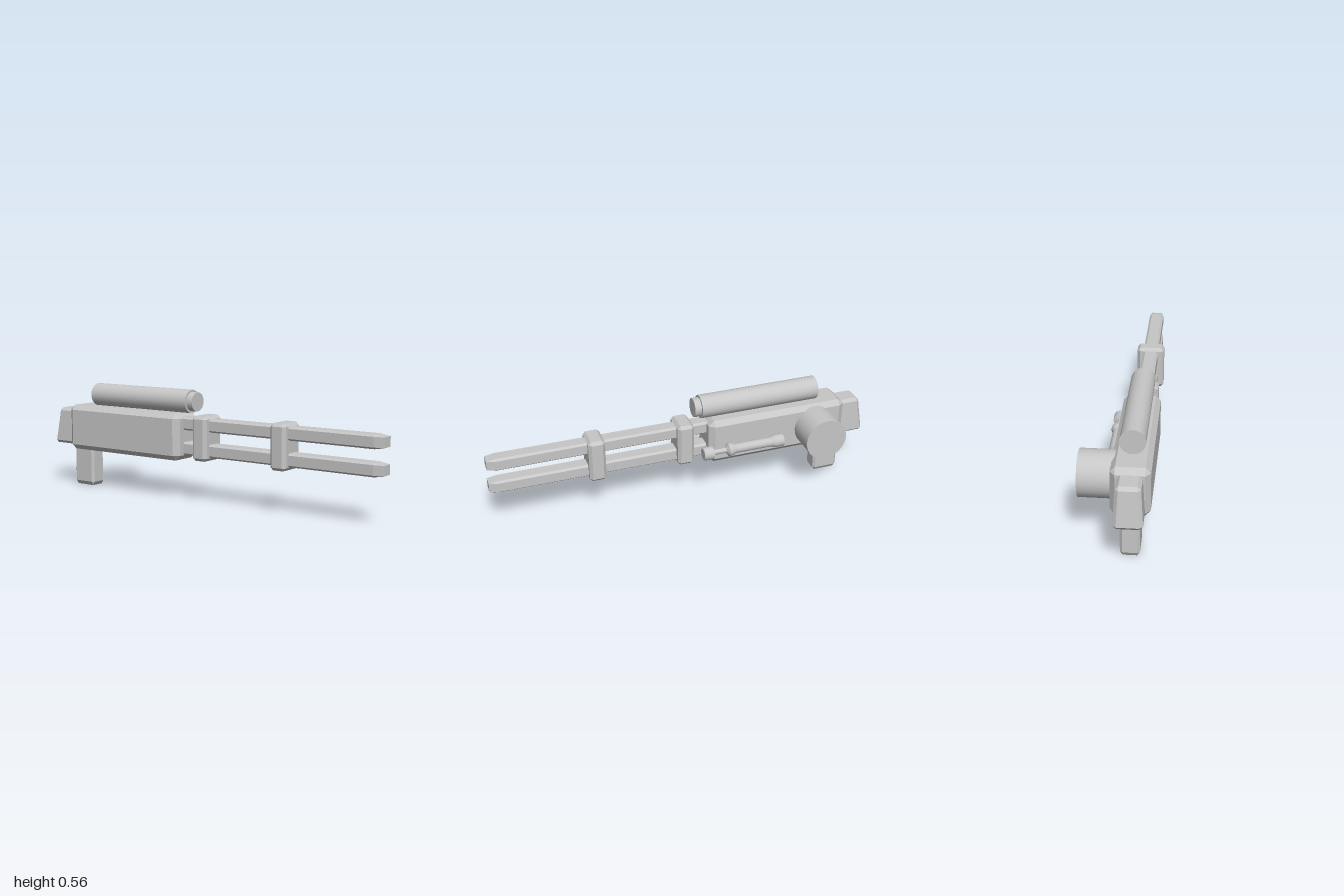
import * as THREE from 'three';
import { ConvexGeometry } from 'three/addons/geometries/ConvexGeometry.js';

const AXIS_X = -0.075; // centre line of the gun

export function createModel() {
  const group = new THREE.Group();
  const grey = new THREE.MeshStandardMaterial({ color: 0xc6c6c6 });
  grey.name = 'grey metal';

  const add = (name, geometry, x, y, z) => {
    const mesh = new THREE.Mesh(geometry, grey);
    mesh.name = name;
    mesh.position.set(x, y, z);
    group.add(mesh);
    return mesh;
  };

  // Box with chamfered edges; the cut can differ along each axis, and reshape can move the corners
  const chamferBox = (w, h, d, cx, cy, cz, reshape) => {
    const points = [];
    for (const sx of [-1, 1]) for (const sy of [-1, 1]) for (const sz of [-1, 1]) {
      for (const [kx, ky, kz] of [[0, 1, 1], [1, 0, 1], [1, 1, 0]]) {
        const p = new THREE.Vector3(
          sx * (w / 2 - kx * cx), sy * (h / 2 - ky * cy), sz * (d / 2 - kz * cz));
        if (reshape) reshape(p);
        points.push(p);
      }
    }
    return new ConvexGeometry(points);
  };

  // Receiver
  add('receiver', chamferBox(0.18, 0.24, 0.75, 0.024, 0.026, 0.03), AXIS_X, 0.32, -0.493);

  // Stock: narrower at the top, rear face leaning forward
  const lean = (p) => {
    const t = (p.y + 0.0975) / 0.195;
    p.x *= 1 - 0.18 * t;
    if (p.z < 0) p.z += 0.03 * t;
  };
  add('stock', chamferBox(0.135, 0.195, 0.16, 0.018, 0.015, 0.015, lean), AXIS_X, 0.318, -0.92);

  // Grip
  add('grip', chamferBox(0.09, 0.25, 0.135, 0.012, 0.02, 0.012), AXIS_X, 0.125, -0.803);

  // Twin barrel rails with tapered tips
  for (const [name, y] of [['upperBarrel', 0.388], ['lowerBarrel', 0.261]]) {
    add(name, chamferBox(0.078, 0.066, 1.2, 0.011, 0.009, 0.05), AXIS_X, y, 0.4);
  }

  // Clamps holding the rails together
  for (const [name, z] of [['frontClamp', 0.462], ['rearClamp', 0]]) {
    add(name, chamferBox(0.142, 0.226, 0.086, 0.015, 0.015, 0.015), AXIS_X, 0.323, z);
  }

  // Scope tube and its front lens housing
  const rod = (r, length, sides) => new THREE.CylinderGeometry(r, r, length, sides).rotateX(Math.PI / 2);
  add('scopeTube', rod(0.06, 0.635, 20), AXIS_X, 0.499, -0.407);
  add('scopeLens', rod(0.049, 0.05, 20), AXIS_X, 0.499, -0.08);

  // Drum magazine on the left side
  add('drumMagazine',
    new THREE.CylinderGeometry(0.11, 0.11, 0.165, 32).rotateZ(Math.PI / 2), 0.0845, 0.32, -0.698);

  // Charging handle: turned sections given as [radius, z], split so their edges stay sharp
  const sections = [
    [[0, -0.51], [0.033, -0.51]],
    [[0.033, -0.51], [0.033, -0.465]],
    [[0.033, -0.465], [0.025, -0.44]],
    [[0.025, -0.44], [0.025, -0.25]],
    [[0.025, -0.25], [0.034, -0.225]],
    [[0.034, -0.225], [0.034, -0.21]],
    [[0.034, -0.21], [0.014, -0.197]],
    [[0.014, -0.197], [0.014, -0.13]],
    [[0.014, -0.13], [0.034, -0.125]],
    [[0.034, -0.125], [0.034, -0.08]],
    [[0.034, -0.08], [0.03, -0.074]],
    [[0.03, -0.074], [0, -0.074]],
  ];
  const handle = new THREE.Group();
  handle.name = 'chargingHandle';
  handle.position.set(0.036, 0.284, 0);
  for (const section of sections) {
    const profile = section.map(([r, z]) => new THREE.Vector2(r, z));
    const mesh = new THREE.Mesh(new THREE.LatheGeometry(profile, 18).rotateX(Math.PI / 2), grey);
    mesh.name = 'handleSection';
    handle.add(mesh);
  }
  group.add(handle);

  return group;
}
